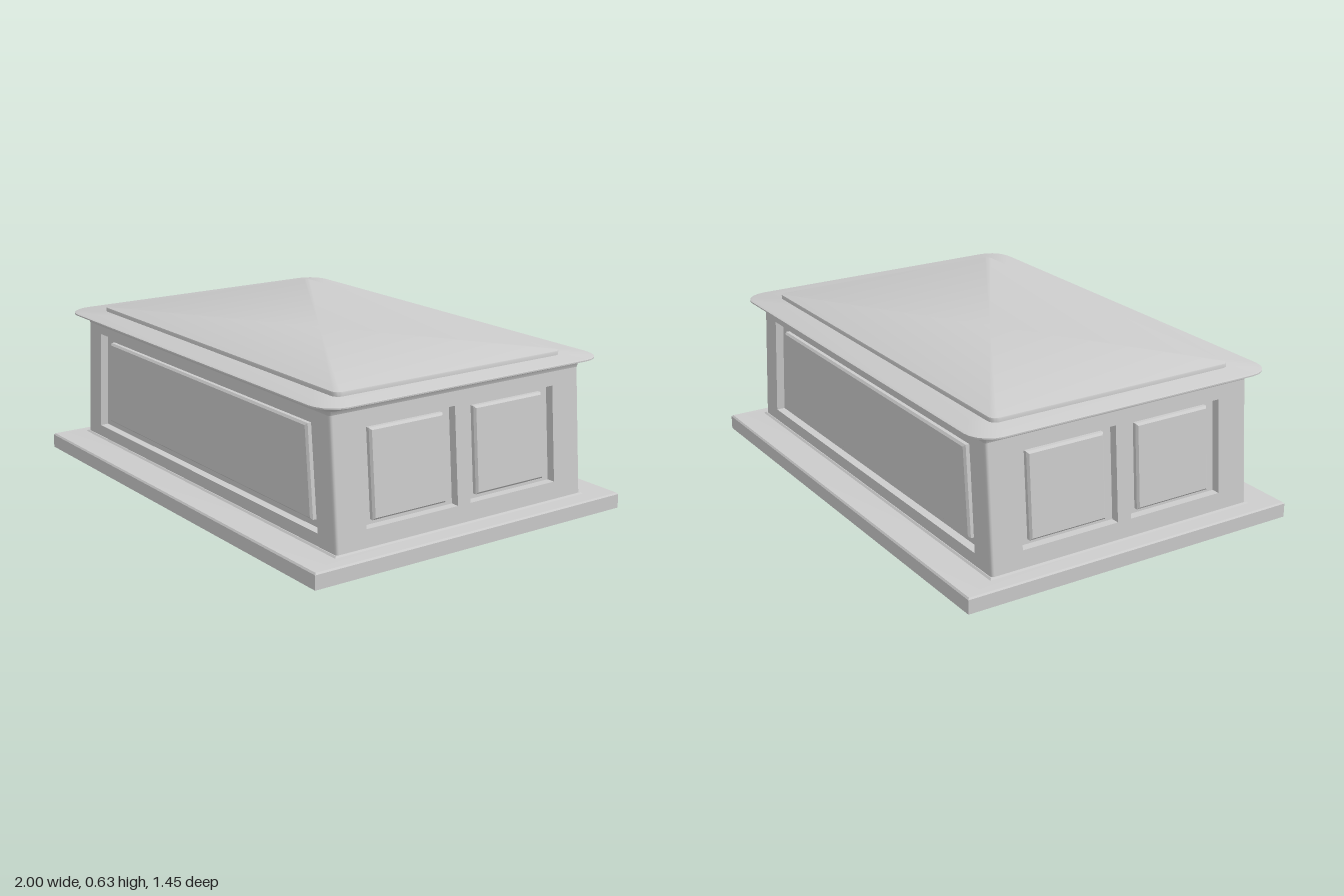
import * as THREE from 'three';
import { toCreasedNormals } from 'three/addons/utils/BufferGeometryUtils.js';

const material = new THREE.MeshStandardMaterial({ color: 0xcccccc });
const BOTTOM = 0.06, TOP = 0.585;
const SLOPE = 0.084;                                  // the end walls lean inwards
const halfWidth = (y) => 0.93 - SLOPE * (y - BOTTOM); // half width of the body at height y

// Corners of a rectangle outline, rounded with radius r
function ring([hx, hz, r, y], seg) {
  const points = [];
  const signs = [[1, 1], [-1, 1], [-1, -1], [1, -1]];
  signs.forEach(([sx, sz], q) => {
    for (let i = 0; i <= seg; i++) {
      const a = (q + (seg ? i / seg : 0.5)) * Math.PI / 2;
      points.push(new THREE.Vector3(
        sx * (hx - r) + r * Math.cos(a), y, sz * (hz - r) + r * Math.sin(a)));
    }
  });
  return points;
}

// Closed solid through stacked [halfX, halfZ, radius, y] outlines
function loft(name, profile, seg) {
  const rings = profile.map((p) => ring(p, seg));
  const n = rings[0].length;
  const triangles = [];
  const low = new THREE.Vector3(0, profile[0][3], 0);
  const high = new THREE.Vector3(0, profile[profile.length - 1][3], 0);
  const last = rings[rings.length - 1];
  for (let i = 0; i < n; i++) {
    const j = (i + 1) % n;
    for (let k = 0; k + 1 < rings.length; k++) {
      const a = rings[k], b = rings[k + 1];
      triangles.push(a[i], b[i], a[j], a[j], b[i], b[j]);
    }
    triangles.push(low, rings[0][i], rings[0][j], high, last[j], last[i]);
  }
  const geometry = new THREE.BufferGeometry().setFromPoints(triangles);
  return named(name, toCreasedNormals(geometry, 0.6));
}

function named(name, geometry) {
  const mesh = new THREE.Mesh(geometry, material);
  mesh.name = name;
  return mesh;
}

// Four-sided outline with its own left and right edge at the bottom and the top
function quad(l0, r0, y0, l1, r1, y1) {
  return [[l0, y0], [r0, y0], [r1, y1], [l1, y1]].map(([x, y]) => new THREE.Vector2(x, y));
}

// Wall with recessed openings, each holding a raised panel; place moves it to its side
function wall(name, outline, openings, panels, place) {
  const group = new THREE.Group();
  group.name = name;
  const shape = new THREE.Shape(outline);
  openings.forEach((o) => shape.holes.push(new THREE.Path(o)));
  const frame = new THREE.ExtrudeGeometry(shape, { depth: 0.035, bevelEnabled: false });
  frame.translate(0, 0, -0.035).applyMatrix4(place);
  group.add(named('wallFrame', frame));
  panels.forEach((p) => {
    const panel = new THREE.ExtrudeGeometry(new THREE.Shape(p), {
      depth: 0.016, bevelThickness: 0.008, bevelSize: 0.008, bevelOffset: -0.008, bevelSegments: 1,
    });
    panel.translate(0, 0, -0.036).applyMatrix4(place);
    group.add(named('raisedPanel', panel));
  });
  return group;
}

export function createModel() {
  const model = new THREE.Group();
  model.name = 'panelledChest';

  // Plinth with a softened upper edge and a small foot moulding
  model.add(loft('plinth', [
    [1, 0.725, 0, 0], [1, 0.725, 0, 0.056], [0.994, 0.719, 0, 0.062],
    [0.936, 0.595, 0, 0.066], [0.931, 0.588, 0, 0.072],
  ], 0));

  // Core that forms the floor of the recesses
  model.add(loft('bodyCore', [
    [halfWidth(BOTTOM) - 0.035, 0.55, 0, BOTTOM], [halfWidth(TOP) - 0.035, 0.55, 0, TOP],
  ], 0));

  // Front and back walls, one wide panel each
  const e0 = halfWidth(BOTTOM) - 0.012, e1 = halfWidth(TOP) - 0.012;
  const frontPlace = new THREE.Matrix4().makeTranslation(0, 0, 0.585);
  // End walls, two panels each, sheared to follow the lean
  const sidePlace = new THREE.Matrix4().set(
    0, -SLOPE, 1, halfWidth(0),
    0, 1, 0, 0,
    -1, 0, 0, 0,
    0, 0, 0, 1);
  for (const back of [false, true]) {
    const front = wall(back ? 'backWall' : 'frontWall',
      quad(-e0, e0, BOTTOM, -e1, e1, TOP),
      [quad(-0.817, 0.817, 0.12, -0.785, 0.785, 0.533)],
      [quad(-0.76, 0.76, 0.15, -0.727, 0.727, 0.502)], frontPlace);
    const side = wall(back ? 'rightWall' : 'leftWall',
      quad(-0.573, 0.573, BOTTOM, -0.573, 0.573, TOP),
      [-0.24, 0.24].map((c) => quad(c - 0.21, c + 0.21, 0.14, c - 0.21, c + 0.21, 0.515)),
      [-0.24, 0.24].map((c) => quad(c - 0.167, c + 0.167, 0.158, c - 0.167, c + 0.167, 0.493)),
      sidePlace);
    front.rotation.y = side.rotation.y = back ? Math.PI : 0;
    model.add(front, side);
  }

  // Rounded corner beads that follow the lean
  for (const sx of [-1, 1]) {
    for (const sz of [-1, 1]) {
      const bead = named('cornerBead', new THREE.CylinderGeometry(0.012, 0.012, TOP - BOTTOM, 12));
      bead.position.set(sx * (e0 + e1) / 2, (BOTTOM + TOP) / 2, sz * 0.573);
      bead.rotation.z = sx * Math.atan(SLOPE);
      model.add(bead);
    }
  }

  // Coved cornice flaring out to a thin rounded top
  model.add(loft('cornice', [
    [0.887, 0.586, 0.012, 0.568], [0.892, 0.592, 0.02, 0.583], [0.908, 0.607, 0.04, 0.595],
    [0.932, 0.63, 0.07, 0.603], [0.96, 0.655, 0.1, 0.608], [0.96, 0.655, 0.1, 0.613],
    [0.95, 0.645, 0.09, 0.617],
  ], 5));

  // Raised lid panel
  model.add(loft('lidPanel', [
    [0.85, 0.532, 0.03, 0.61], [0.85, 0.532, 0.03, 0.629],
    [0.848, 0.53, 0.028, 0.633], [0.843, 0.525, 0.023, 0.635],
  ], 5));

  return model;
}
